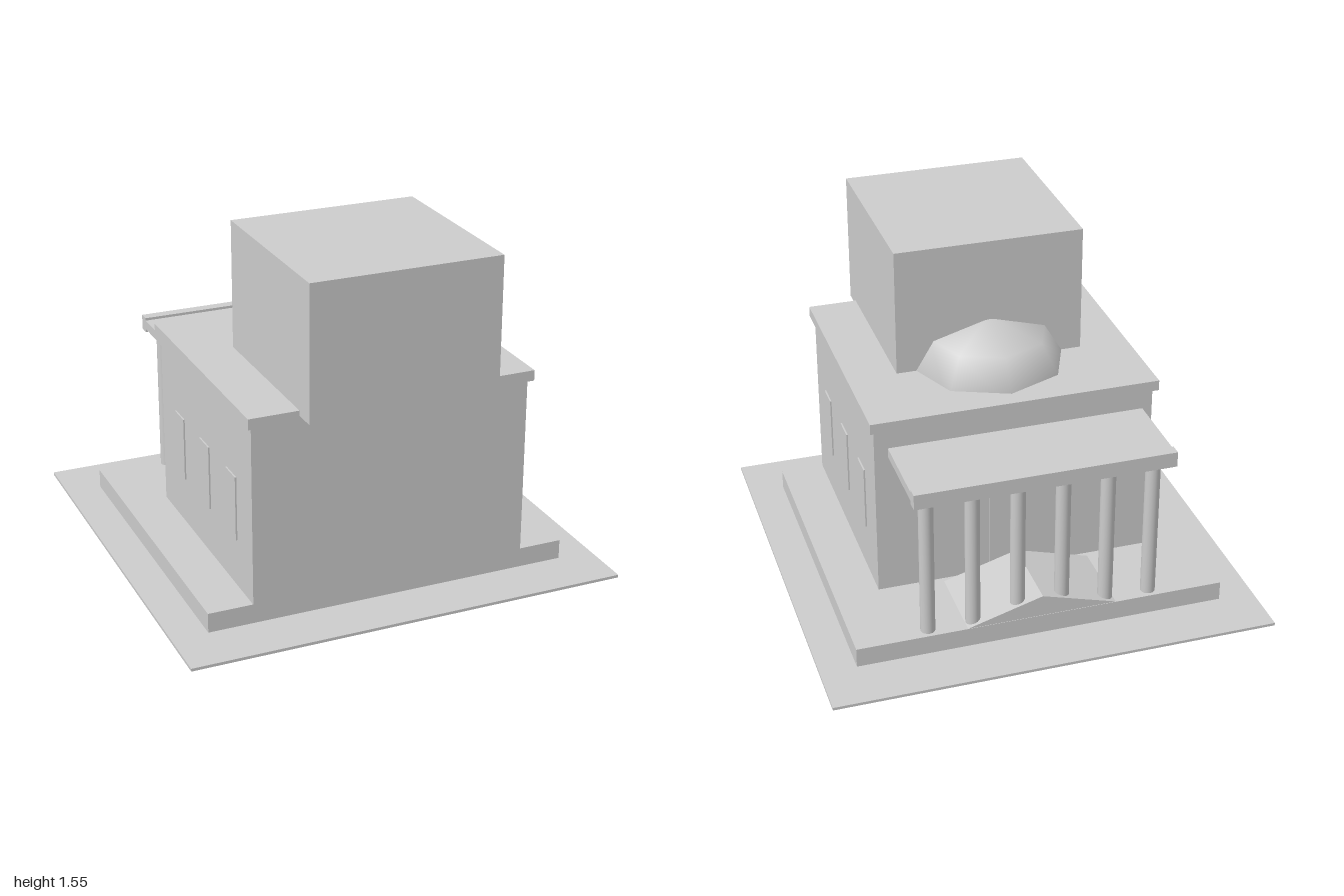
import * as THREE from 'three';

export function createModel() {
  const model = new THREE.Group();
  const stone = new THREE.MeshStandardMaterial({ color: 0xcccccc });
  stone.name = 'grey stone';

  const add = (name, geometry, x = 0, y = 0, z = 0) => {
    const mesh = new THREE.Mesh(geometry, stone);
    mesh.name = name;
    mesh.position.set(x, y, z);
    model.add(mesh);
    return mesh;
  };
  // Box given by its lower and upper limits on each axis
  const block = (name, [x0, x1], [y0, y1], [z0, z1]) =>
    add(name, new THREE.BoxGeometry(x1 - x0, y1 - y0, z1 - z0),
      (x0 + x1) / 2, (y0 + y1) / 2, (z0 + z1) / 2);

  // Ground and stepped base
  block('groundSlab', [-1, 1], [0, 0.013], [-1, 1]);
  block('podium', [-0.837, 0.837], [0.013, 0.102], [-0.757, 0.757]);

  // Main hall with its cornice and the big block on the roof
  block('hall', [-0.635, 0.635], [0.102, 0.917], [-0.355, 0.76]);
  block('cornice', [-0.655, 0.655], [0.917, 0.965], [-0.38, 0.782]);
  block('upperBlock', [-0.43, 0.43], [0.942, 1.548], [0.025, 0.886]);

  // Coarse eight-sided dome with smooth shading
  const dome = new THREE.SphereGeometry(1, 8, 2, 0, Math.PI * 2, 0, Math.PI / 2);
  dome.scale(0.38, 0.262, 0.38);
  add('dome', dome, 0, 0.915, 0.05);

  // Windows on both sides, door behind the columns
  for (const side of [-1, 1]) {
    for (const z of [0.527, 0.206, -0.115]) {
      add('window', new THREE.BoxGeometry(0.008, 0.295, 0.113), side * 0.638, 0.47, z);
    }
  }
  block('door', [-0.12, 0.12], [0.102, 0.51], [-0.359, -0.352]);

  // Portico: six round columns, flat roof and edge beam
  for (let i = 0; i < 6; i++) {
    add('column', new THREE.CylinderGeometry(0.033, 0.033, 0.693, 16),
      -0.507 + i * 0.2028, 0.4485, -0.707);
  }
  block('porticoRoof', [-0.58, 0.58], [0.795, 0.838], [-0.75, -0.38]);
  block('porticoBeam', [-0.58, 0.58], [0.78, 0.85], [-0.797, -0.747]);

  // Low gable resting on the podium
  const gable = new THREE.Shape([
    new THREE.Vector2(-0.34, 0), new THREE.Vector2(0.34, 0), new THREE.Vector2(0, 0.1),
  ]);
  add('gable', new THREE.ExtrudeGeometry(gable, { depth: 0.375, bevelEnabled: false }),
    0, 0.102, -0.755);

  return model;
}
